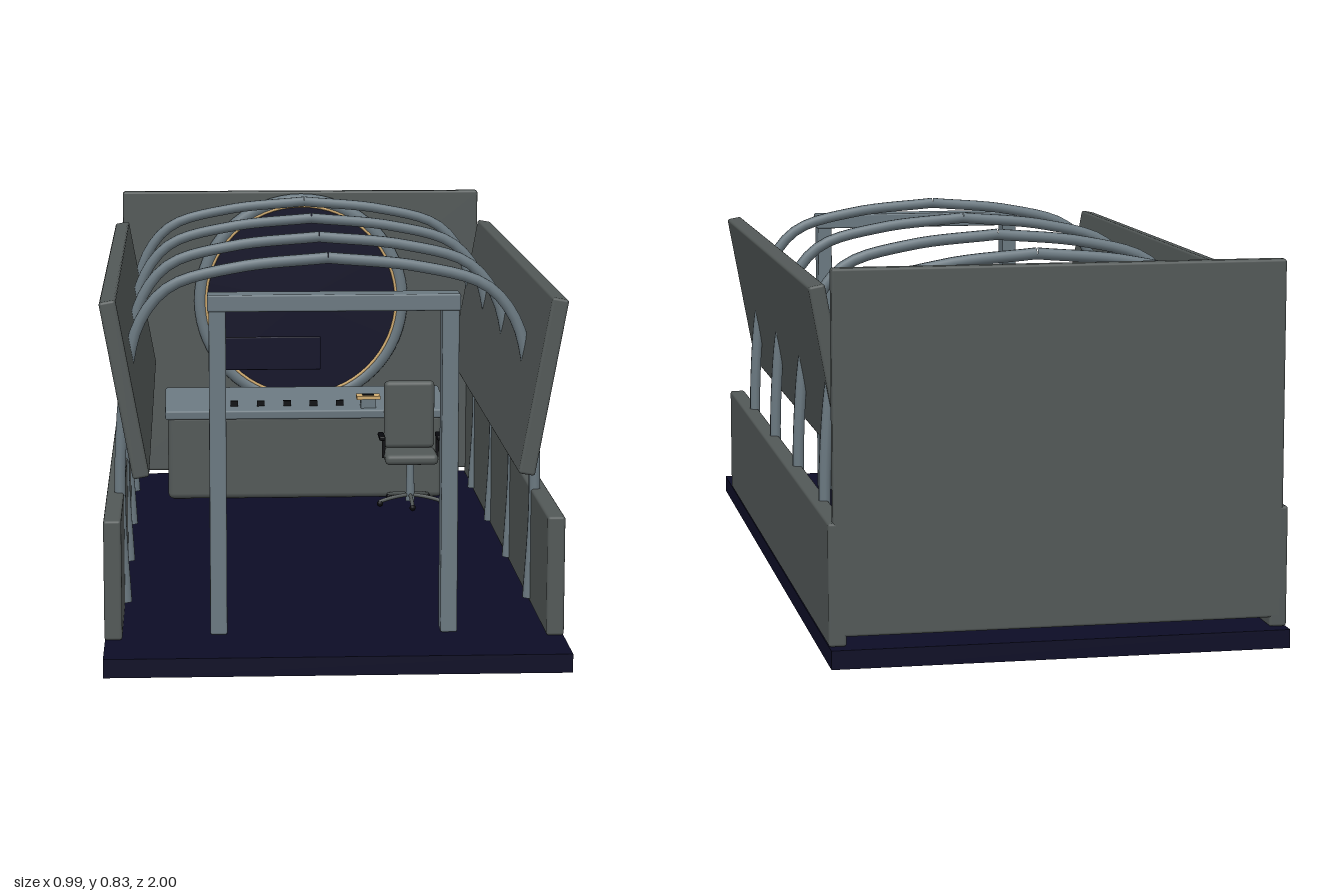
import * as THREE from 'three';
import { RoundedBoxGeometry } from 'three/addons/geometries/RoundedBoxGeometry.js';

const mat = (name, color) => {
  const m = new THREE.MeshStandardMaterial({ color });
  m.name = name;
  return m;
};

export function createModel() {
  const model = new THREE.Group();
  model.name = 'cabinInterior';
  const navy = mat('deepNavy', 0x0d0d26);
  const hull = mat('hullGrey', 0x525857);
  const steel = mat('blueSteel', 0x6a7880);
  const gold = mat('paleGold', 0xd0ab70);
  const black = mat('black', 0x07080c);

  const add = (name, geometry, material, x, y, z, parent = model) => {
    const mesh = new THREE.Mesh(geometry, material);
    mesh.name = name;
    mesh.position.set(x, y, z);
    parent.add(mesh);
    return mesh;
  };
  const rbox = (w, h, d, r = 0.006) => new RoundedBoxGeometry(w, h, d, 2, r);

  // Floor and rear bulkhead
  add('floor', new THREE.BoxGeometry(0.98, 0.04, 2), navy, 0, 0.02, 0);
  add('rearWall', rbox(0.96, 0.765, 0.03), hull, 0, 0.4425, -0.955);

  // Side walls and outward-leaning upper panels
  for (const s of [-1, 1]) {
    add('sideWall', rbox(0.038, 0.26, 1.815), hull, s * 0.472, 0.17, -0.0625);
    const panel = add('upperPanel', rbox(0.036, 0.384, 1.56), hull, s * 0.444, 0.575, 0.04);
    panel.rotation.z = -s * 0.18;
  }

  // Overhead hoops, each made of two mirrored halves
  const half = [[0.45, 0.05], [0.461, 0.25], [0.459, 0.4], [0.445, 0.56],
    [0.415, 0.68], [0.35, 0.757], [0.2, 0.8], [0, 0.82]];
  for (const z of [0.535, 0.12, -0.295, -0.715]) {
    for (const s of [-1, 1]) {
      const path = new THREE.CatmullRomCurve3(half.map(([x, y]) => new THREE.Vector3(s * x, y, 0)));
      add('hoopHalf', new THREE.TubeGeometry(path, 36, 0.013, 10), steel, 0, 0, z);
    }
  }

  // Front door frame
  for (const s of [-1, 1]) add('doorPost', rbox(0.036, 0.71, 0.055, 0.004), steel, s * 0.247, 0.395, 0.777);
  add('doorBeam', rbox(0.536, 0.036, 0.06, 0.004), steel, 0, 0.756, 0.777);

  // Round rear window
  const wy = 0.53;
  add('windowRing', new THREE.TorusGeometry(0.272, 0.018, 12, 64), steel, 0, wy, -0.925);
  const glass = add('windowGlass', new THREE.CylinderGeometry(0.26, 0.26, 0.02, 64), navy, 0, wy, -0.925);
  glass.rotation.x = Math.PI / 2;
  add('windowTrim', new THREE.TorusGeometry(0.258, 0.004, 8, 64), gold, 0, wy, -0.914);

  // Console with sloping desktop, key row, screen and inset
  const desk = new THREE.Group();
  desk.name = 'console';
  model.add(desk);
  add('consoleBase', rbox(0.724, 0.225, 0.22, 0.015), hull, 0, 0.155, -0.735, desk);
  const slab = add('consoleTop', rbox(0.738, 0.024, 0.243, 0.005), steel, 0, 0.281, -0.733, desk);
  slab.rotation.x = 0.1;
  for (let i = 0; i < 5; i++) {
    add('key', new THREE.BoxGeometry(0.02, 0.014, 0.01), black, -0.187 + i * 0.0695, 0.293, -0.655, desk);
  }
  add('screen', rbox(0.275, 0.088, 0.012, 0.003), navy, -0.093, 0.413, -0.742, desk);
  add('goldPlate', new THREE.BoxGeometry(0.062, 0.009, 0.046), gold, 0.165, 0.311, -0.642, desk);
  add('goldPlateStand', new THREE.BoxGeometry(0.04, 0.03, 0.03), steel, 0.165, 0.293, -0.642, desk);
  add('plateInset', new THREE.BoxGeometry(0.03, 0.004, 0.022), black, 0.165, 0.315, -0.642, desk);

  // Swivel chair
  const chair = new THREE.Group();
  chair.name = 'chair';
  chair.position.set(0.27, 0, -0.55);
  model.add(chair);
  add('chairSeat', rbox(0.138, 0.028, 0.12, 0.012), hull, 0, 0.168, 0, chair);
  add('chairBack', rbox(0.132, 0.178, 0.026, 0.012), hull, 0, 0.271, -0.048, chair);
  add('chairStem', new THREE.CylinderGeometry(0.009, 0.012, 0.11, 16), steel, 0, 0.105, 0, chair);
  for (const s of [-1, 1]) {
    add('armrest', rbox(0.016, 0.012, 0.07, 0.004), black, s * 0.075, 0.22, -0.005, chair);
    add('armSupport', new THREE.BoxGeometry(0.008, 0.055, 0.01), black, s * 0.07, 0.192, 0, chair);
  }
  for (let i = 0; i < 5; i++) {
    const a = (i * 2 * Math.PI) / 5;
    const at = (r, y) => new THREE.Vector3(Math.sin(a) * r, y, Math.cos(a) * r);
    const leg = new THREE.QuadraticBezierCurve3(at(0, 0.066), at(0.05, 0.064), at(0.088, 0.052));
    add('chairLeg', new THREE.TubeGeometry(leg, 8, 0.005, 8), hull, 0, 0, 0, chair);
    const p = at(0.085, 0.048);
    add('chairCaster', new THREE.SphereGeometry(0.008, 10, 8), black, p.x, p.y, p.z, chair);
  }
  return model;
}
